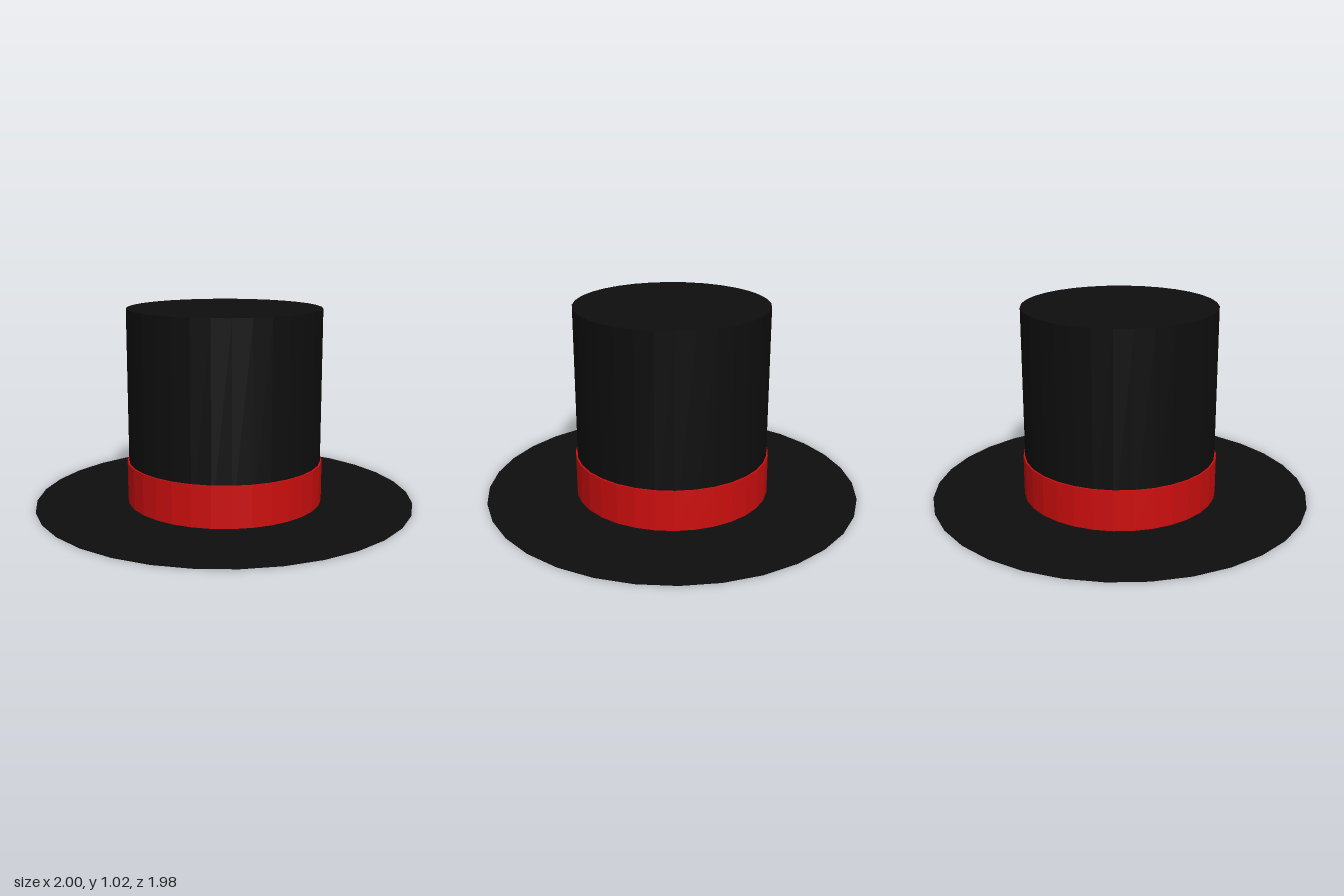
import * as THREE from 'three';

const SIDES = 32;

export function createModel() {
  const felt = new THREE.MeshStandardMaterial({ color: 0x0e0e0e, flatShading: true });
  felt.name = 'black felt';
  const ribbon = new THREE.MeshStandardMaterial({ color: 0xcc0e0e, flatShading: true });
  ribbon.name = 'red ribbon';

  const hat = new THREE.Group();
  hat.name = 'topHat';

  // Each part is an upright faceted cylinder, with a corner on the x axis
  function addPart(name, radius, bottom, top, material) {
    const geometry = new THREE.CylinderGeometry(radius, radius, top - bottom, SIDES);
    geometry.translate(0, (top + bottom) / 2, 0);
    const mesh = new THREE.Mesh(geometry, material);
    mesh.name = name;
    hat.add(mesh);
    return mesh;
  }

  // Wide, paper-thin brim, very slightly shallower front to back
  addPart('brim', 1, 0, 0.005, felt).scale.z = 0.99;
  // Tall crown
  addPart('crown', 0.506, 0.003, 1.02, felt);
  // Ribbon around the foot of the crown
  addPart('hatBand', 0.515, 0.003, 0.22, ribbon);

  return hat;
}
